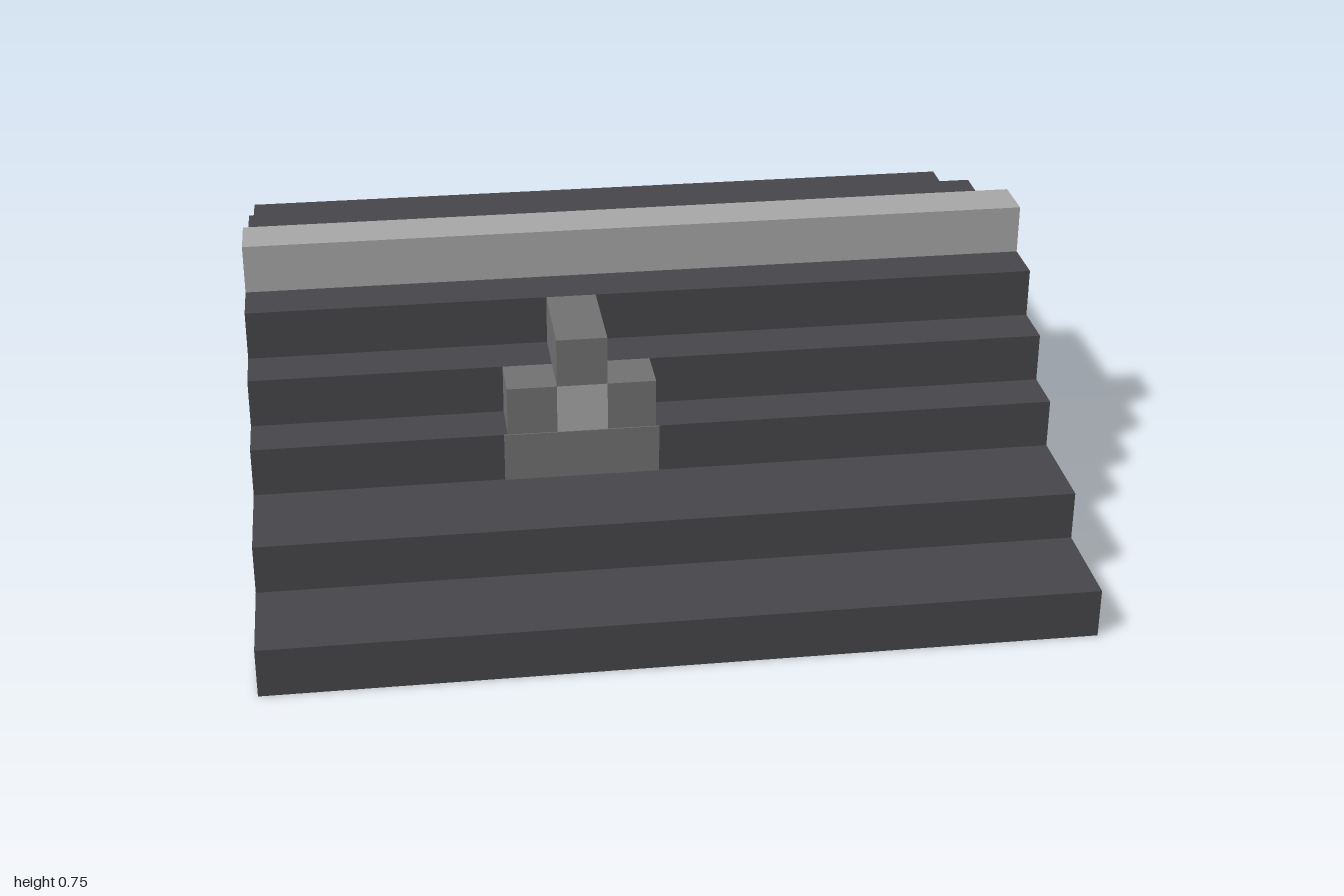
import * as THREE from 'three';

export function createModel() {
  const model = new THREE.Group();
  model.name = 'steppedRoof';

  const mat = (name, color) => {
    const m = new THREE.MeshStandardMaterial({ color });
    m.name = name;
    return m;
  };
  const slate = mat('dark slate', 0x47464a);
  const stone = mat('grey stone', 0x727272);
  const pale = mat('pale grey', 0xa8a8a8);

  // Box given by its minimum and maximum on each axis
  const block = (parent, name, material, [x0, x1], [y0, y1], [z0, z1]) => {
    const mesh = new THREE.Mesh(new THREE.BoxGeometry(x1 - x0, y1 - y0, z1 - z0), material);
    mesh.position.set((x0 + x1) / 2, (y0 + y1) / 2, (z0 + z1) / 2);
    mesh.name = name;
    parent.add(mesh);
  };

  const U = 0.125; // height of one step
  const full = [-1, 1];

  // Front slope, eave to ridge: z range of each step
  const front = [[0.75, 1], [0.375, 0.75], [0.25, 0.5], [0.25, 0.375], [0.125, 0.25]];
  front.forEach((z, i) => block(model, `frontStep${i + 1}`, slate, full, [i * U, (i + 1) * U], z));

  // Back slope, eave to ridge
  const back = [[-1, -0.75], [-0.75, -0.375], [-0.375, 0]];
  back.forEach((z, i) => block(model, `backStep${i + 1}`, slate, full, [(i + 2) * U, (i + 3) * U], z));

  // Ridge beam
  block(model, 'ridge', pale, full, [5 * U, 6 * U], [0, U]);

  // Dormer: base wall, two cheeks, window and gable cap
  const dormer = new THREE.Group();
  dormer.name = 'dormer';
  model.add(dormer);
  block(dormer, 'dormerBase', stone, [-0.382, 0.003], [2 * U, 3 * U], [0.497, 0.503]);
  block(dormer, 'dormerRightCheek', stone, [-0.373, -0.25], [3 * U, 4 * U], [0.375, 0.5]);
  block(dormer, 'dormerLeftCheek', stone, [-0.125, -0.005], [3 * U, 4 * U], [0.375, 0.5]);
  block(dormer, 'dormerWindow', pale, [-0.25, -0.125], [3 * U, 4 * U], [0.375, 0.5]);
  block(dormer, 'dormerCap', stone, [-0.25, -0.125], [4 * U, 5 * U], [0.25, 0.5]);

  return model;
}
